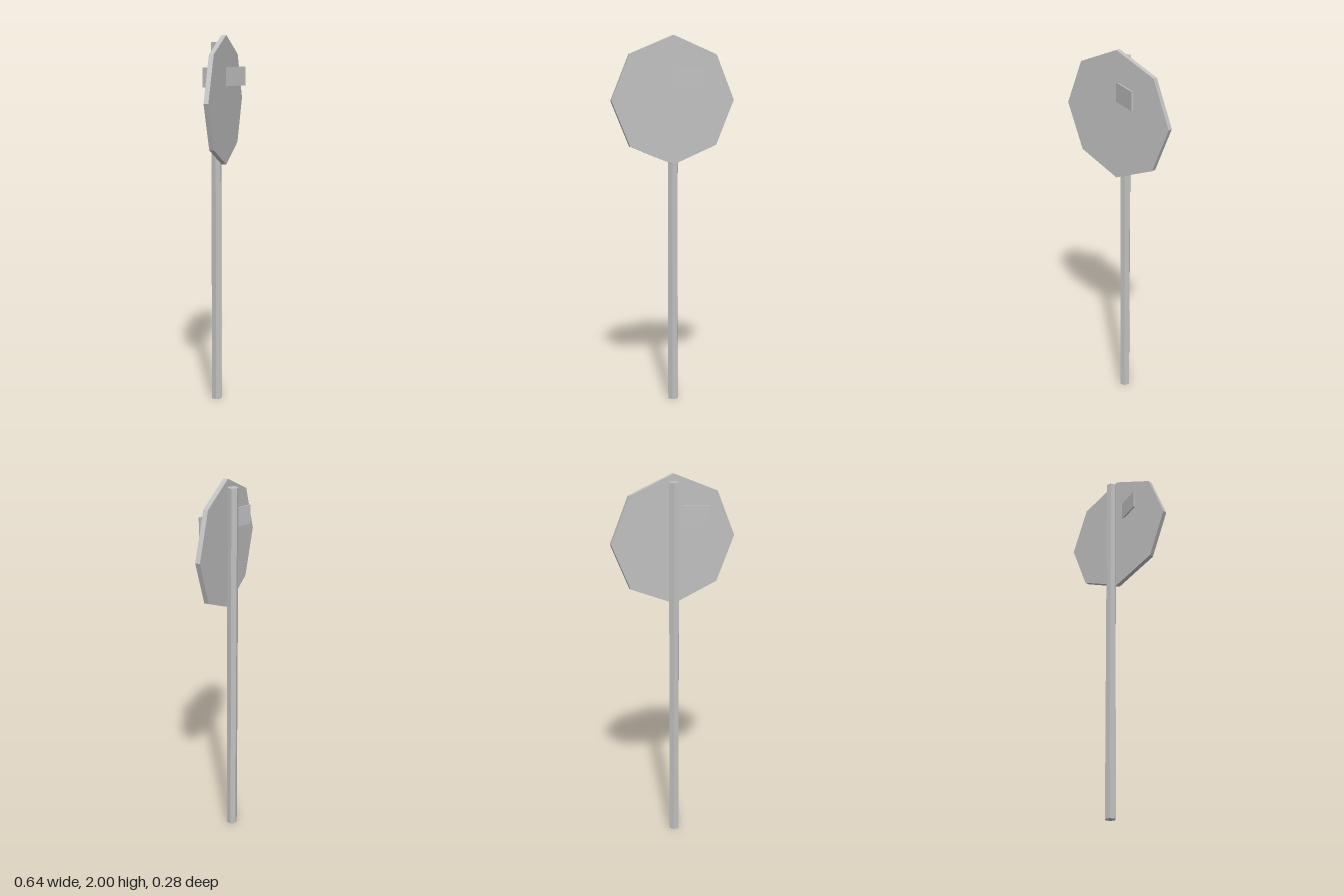
import * as THREE from 'three';

export function createModel() {
  const group = new THREE.Group();
  const grey = new THREE.MeshStandardMaterial({ color: 0xc0c0c0, flatShading: true });
  grey.name = 'grey metal';

  const add = (name, geometry, x, y, z) => {
    const mesh = new THREE.Mesh(geometry, grey);
    mesh.name = name;
    mesh.position.set(x, y, z);
    group.add(mesh);
    return mesh;
  };

  // Hexagonal post standing just behind the sign
  const postHeight = 1.963;
  add('post', new THREE.CylinderGeometry(0.029, 0.029, postHeight, 6), -0.005, postHeight / 2, -0.047);

  // Octagonal board with a corner at the top, turned an eighth of a half turn on the post
  const board = new THREE.CylinderGeometry(0.34, 0.34, 0.025, 8).rotateX(Math.PI / 2);
  add('signBoard', board, 0, 1.66, 0).rotation.y = Math.PI / 8;

  // Thin straight plate that passes through the board
  add('crossPlate', new THREE.BoxGeometry(0.357, 0.1, 0.008), -0.005, 1.784, 0.008);

  return group;
}
